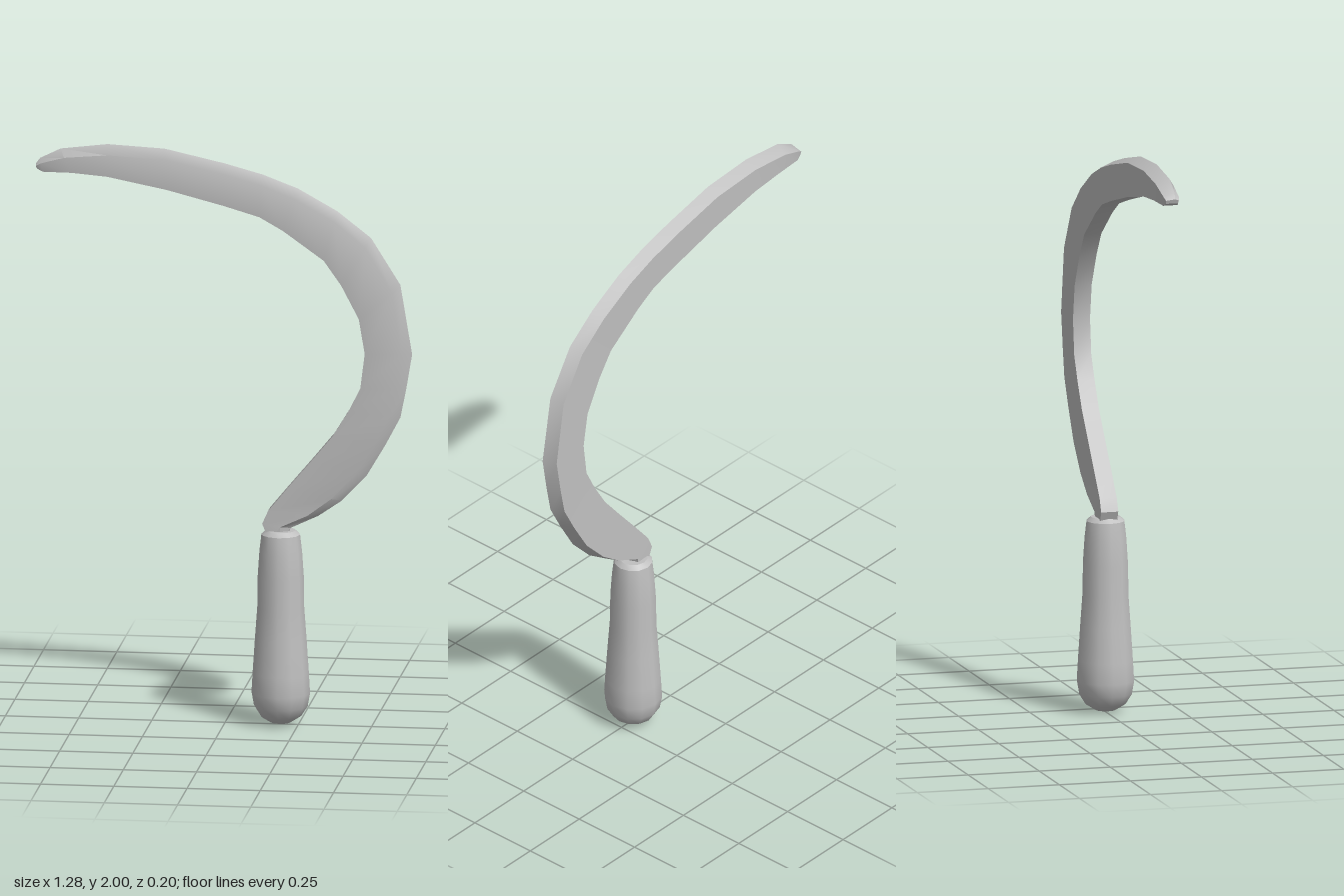
import * as THREE from 'three';
import { toCreasedNormals } from 'three/addons/utils/BufferGeometryUtils.js';

// Blade stations from handle to tip: [inner x, inner y, outer x, outer y]
const STATIONS = [
  [0.155, 0.64, 0.21, 0.64], [0.13, 0.70, 0.225, 0.685], [0.15, 0.745, 0.32, 0.73],
  [0.22, 0.83, 0.40, 0.785], [0.30, 0.925, 0.485, 0.875], [0.37, 1.01, 0.55, 0.985],
  [0.425, 1.10, 0.60, 1.08], [0.465, 1.18, 0.62, 1.18], [0.48, 1.30, 0.64, 1.30],
  [0.46, 1.42, 0.60, 1.54], [0.40, 1.535, 0.50, 1.70], [0.34, 1.62, 0.385, 1.79],
  [0.20, 1.72, 0.25, 1.865], [0.12, 1.765, 0.13, 1.91], [0, 1.80, 0, 1.945],
  [-0.195, 1.85, -0.205, 1.99], [-0.40, 1.89, -0.40, 2.0],
  [-0.52, 1.90, -0.56, 1.98], [-0.62, 1.90, -0.63, 1.945], [-0.64, 1.91, -0.645, 1.925],
];

// Five-sided section: ridge along the spine, flat faces, square inner edge
function bladeGeometry() {
  const pos = [], idx = [], n = 5, last = STATIONS.length - 1;
  STATIONS.forEach(([ix, iy, ox, oy], s) => {
    const inner = new THREE.Vector2(ix, iy), outer = new THREE.Vector2(ox, oy);
    const width = inner.distanceTo(outer);
    const k = s === last ? 0.7 : s === last - 1 ? 0.85 : 1;
    const section = [
      [0, 0.012], [Math.min(0.02 / width, 0.25), -0.034], [1, -0.032],
      [1, 0.028], [Math.min(0.035 / width, 0.35), 0.031],
    ];
    for (const [t, z] of section) {
      const p = outer.clone().lerp(inner, t);
      pos.push(p.x, p.y, z * k);
    }
    if (s === last) return;
    for (let j = 0; j < n; j++) {
      const a = s * n + j, b = s * n + (j + 1) % n;
      idx.push(a, b, b + n, a, b + n, a + n);
    }
  });
  for (let j = 1; j < n - 1; j++) {
    const e = last * n;
    idx.push(0, j + 1, j, e, e + j, e + j + 1);
  }
  const g = new THREE.BufferGeometry();
  g.setAttribute('position', new THREE.Float32BufferAttribute(pos, 3));
  g.setIndex(idx);
  return toCreasedNormals(g, 0.6);
}

export function createModel() {
  const group = new THREE.Group();
  const grey = new THREE.MeshStandardMaterial({ color: 0xc0c0c0 });
  grey.name = 'grey';

  const blade = new THREE.Mesh(bladeGeometry(), grey);
  blade.name = 'blade';
  group.add(blade);

  // Turned grip with rounded butt and a small bevel at the top
  const profile = [
    [0, 0], [0.035, 0.008], [0.07, 0.03], [0.092, 0.065], [0.1, 0.11], [0.096, 0.18],
    [0.088, 0.3], [0.08, 0.41], [0.079, 0.51], [0.073, 0.6], [0.066, 0.66],
    [0.05, 0.674], [0, 0.674],
  ].map(([r, y]) => new THREE.Vector2(r, y));
  const handle = new THREE.Mesh(toCreasedNormals(new THREE.LatheGeometry(profile, 12), 0.7), grey);
  handle.name = 'handle';
  handle.position.x = 0.19;
  group.add(handle);

  return group;
}
